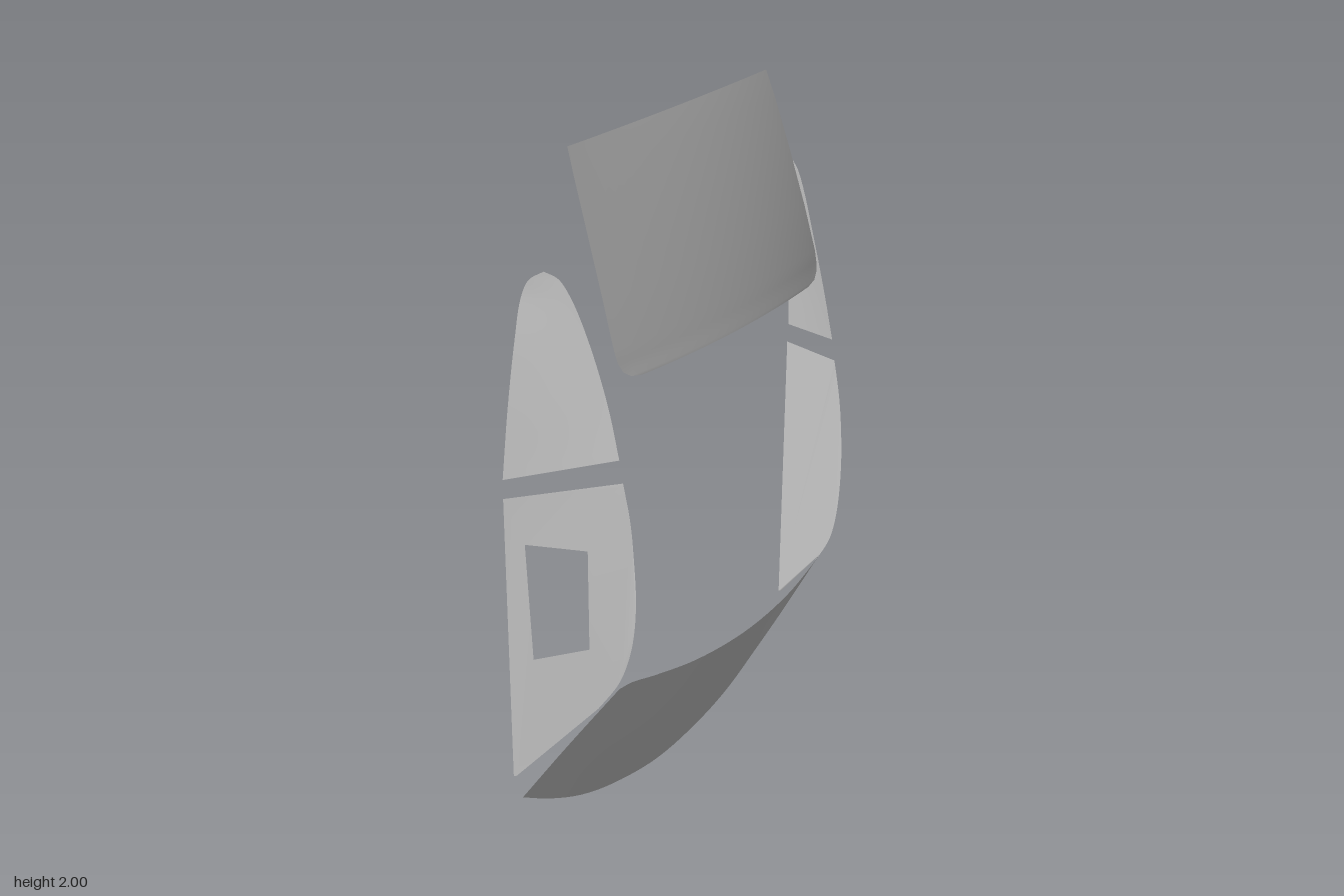
import * as THREE from 'three';

const material = new THREE.MeshStandardMaterial({ color: 0xcccccc, side: THREE.DoubleSide });

// Smooth sampling of a few [x, y, z] points
const curve = (pts, n) =>
  new THREE.CatmullRomCurve3(pts.map(p => new THREE.Vector3(...p)), false, 'centripetal').getPoints(n);

// Surface from rows of points, all rows equally long
function loft(rows) {
  const n = rows[0].length, index = [];
  for (let r = 0; r < rows.length - 1; r++) {
    for (let i = 0; i < n - 1; i++) {
      const a = r * n + i, b = a + n;
      index.push(a, b, a + 1, a + 1, b, b + 1);
    }
  }
  const g = new THREE.BufferGeometry().setFromPoints(rows.flat());
  g.setIndex(index);
  g.computeVertexNormals();
  return g;
}

// Turn every face of a geometry over
function flipFaces(g) {
  const ix = g.index.array;
  for (let i = 0; i < ix.length; i += 3) [ix[i], ix[i + 1]] = [ix[i + 1], ix[i]];
  g.computeVertexNormals();
  return g;
}

// Mirror a geometry across x = 0, keeping its faces outward
const mirrored = g => flipFaces(g.scale(-1, 1, 1));

// Mirror a half rail (centre to +x end) into a full rail from -x to +x
const fullRail = half => [...half.slice(1).reverse().map(([x, y, z]) => [-x, y, z]), ...half];

// Upper end pane: y, half width, centre z, sideways drop in z
function upperPane() {
  const rows = [
    [2.0, 0.387, -0.075, 0.008], [1.93, 0.394, -0.046, 0.012], [1.8, 0.402, 0.004, 0.018],
    [1.65, 0.409, 0.058, 0.024], [1.53, 0.413, 0.097, 0.028], [1.5, 0.410, 0.106, 0.029],
    [1.475, 0.400, 0.114, 0.029], [1.46, 0.380, 0.119, 0.026], [1.453, 0.345, 0.121, 0.022],
  ];
  return loft(rows.map(([y, w, z, d]) => Array.from({ length: 25 }, (_, i) => {
    const u = i / 12 - 1;
    return new THREE.Vector3(w * u, y, z - d * u * u);
  })));
}

// Lower end pane: curved top edge, middle and arched bottom edge
function lowerPane() {
  const top = curve(fullRail([[0, 0.565, 0.16], [0.2, 0.575, 0.151], [0.35, 0.597, 0.132],
    [0.43, 0.609, 0.116], [0.458, 0.597, 0.1]]), 48);
  const middle = curve(fullRail([[0, 0.287, 0.005], [0.22, 0.302, 0.003], [0.36, 0.34, -0.006],
    [0.47, 0.38, -0.017], [0.528, 0.4, -0.025]]), 48);
  const bottom = curve(fullRail([[0, 0, -0.152], [0.2, 0.025, -0.152], [0.34, 0.067, -0.152],
    [0.47, 0.132, -0.152], [0.576, 0.2, -0.152]]), 48);
  const columns = top.map((p, i) => new THREE.CatmullRomCurve3([p, middle[i], bottom[i]]).getPoints(10));
  return loft(Array.from({ length: 11 }, (_, r) => columns.map(c => c[r])));
}

// Upper side pane: between its front and back edges, closing at the tip
function upperSidePane() {
  const front = curve([[0.45, 1.265, 0.11], [0.45, 1.4, 0.078], [0.457, 1.55, 0.032],
    [0.469, 1.66, -0.01], [0.481, 1.71, -0.04], [0.498, 1.727, -0.07]], 30);
  const back = curve([[0.598, 1.19, -0.142], [0.577, 1.38, -0.133], [0.552, 1.55, -0.124],
    [0.531, 1.66, -0.116], [0.518, 1.705, -0.1], [0.498, 1.727, -0.07]], 30);
  return loft(front.map((f, i) =>
    Array.from({ length: 7 }, (_, k) => f.clone().lerp(back[i], k / 6))).reverse());
}

// Lower side pane: outline in (z, y), leaned outward towards the back
function lowerSidePane(withOpening) {
  const shape = new THREE.Shape();
  shape.moveTo(-0.145, 1.135);
  shape.lineTo(-0.158, 0.283);
  shape.lineTo(-0.148, 0.288);
  shape.lineTo(0.06, 0.54);
  shape.splineThru([[0.108, 0.62], [0.135, 0.7], [0.15, 0.79], [0.155, 0.9], [0.149, 1.02],
    [0.139, 1.11], [0.12, 1.205]].map(p => new THREE.Vector2(...p)));
  shape.closePath();
  if (withOpening) {
    const hole = [[-0.1, 1.01], [0.045, 1.01], [0.043, 0.72], [-0.092, 0.668]];
    shape.holes.push(new THREE.Path(hole.map(p => new THREE.Vector2(...p))));
  }
  const g = new THREE.ShapeGeometry(shape, 6);
  const pos = g.attributes.position;
  for (let i = 0; i < pos.count; i++) {
    const z = pos.getX(i), y = pos.getY(i);
    const tuck = 0.017 * Math.max(0, (y - 0.9) / 0.3) ** 2 * Math.max(0, (z + 0.15) / 0.27);
    pos.setXYZ(i, Math.min(0.6, 0.526 - 0.49 * z) - tuck, y, z);
  }
  // Swapping the outline's axes turns the faces inward, so flip them
  return flipFaces(g);
}

export function createModel() {
  const model = new THREE.Group();
  const add = (name, geometry) => {
    const mesh = new THREE.Mesh(geometry, material);
    mesh.name = name;
    model.add(mesh);
  };
  add('upperEndPane', upperPane());
  add('lowerEndPane', lowerPane());
  add('leftUpperSidePane', upperSidePane());
  add('rightUpperSidePane', mirrored(upperSidePane()));
  add('leftLowerSidePane', lowerSidePane(false));
  add('rightLowerSidePane', mirrored(lowerSidePane(true)));
  return model;
}
